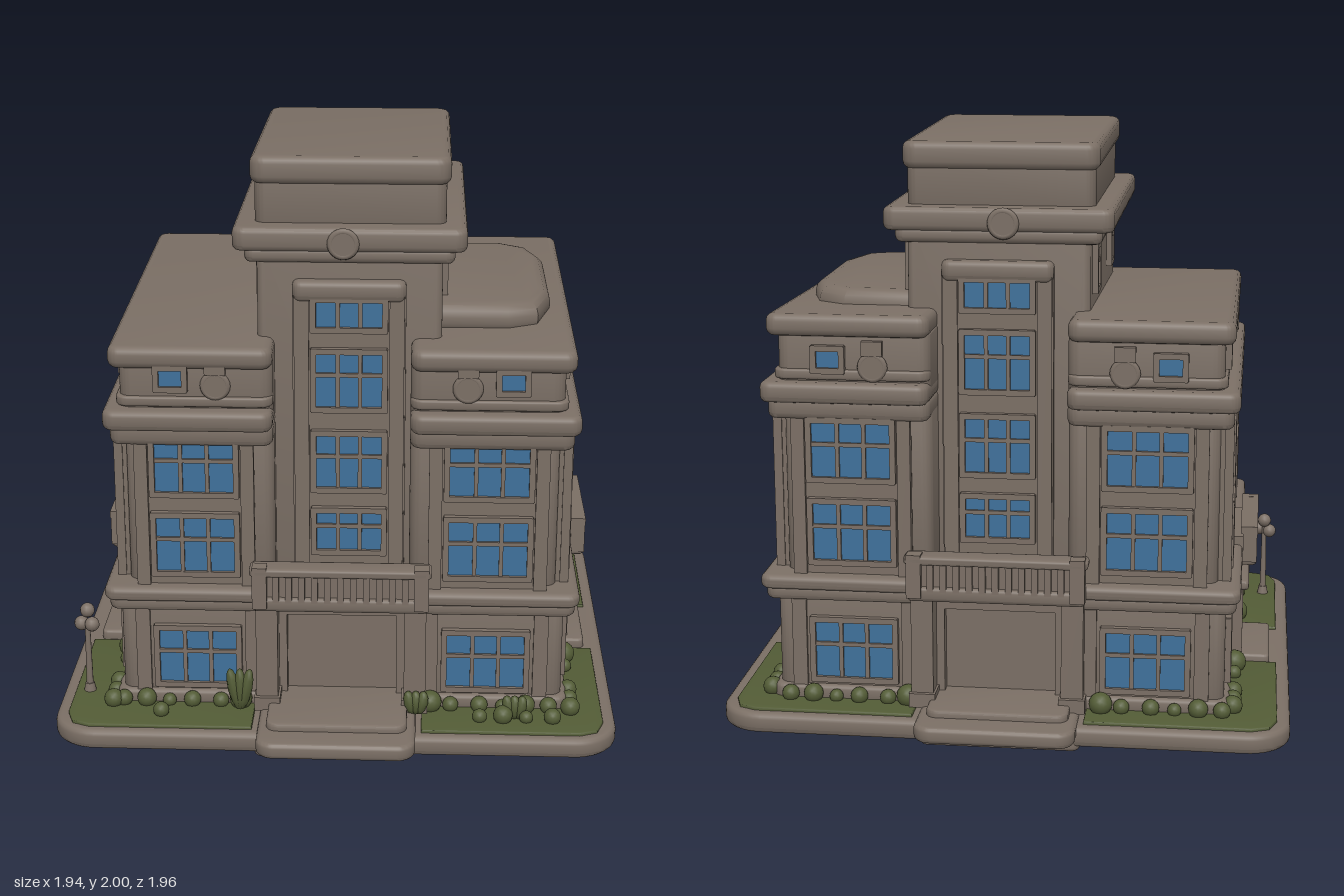
import * as THREE from 'three';
import { toCreasedNormals } from 'three/addons/utils/BufferGeometryUtils.js';

const mat = (name, color) => Object.assign(new THREE.MeshStandardMaterial({ color }), { name });
const stone = mat('stone', 0x7b6f65);
const glass = mat('glass', 0x3f719b);
const grass = mat('grass', 0x535c36);

function add(parent, name, geo, material, x = 0, y = 0, z = 0) {
  const m = new THREE.Mesh(geo, material);
  m.name = name;
  m.position.set(x, y, z);
  parent.add(m);
  return m;
}

function group(parent, name, x = 0, y = 0, z = 0, turn = 0) {
  const g = new THREE.Group();
  g.name = name;
  g.position.set(x, y, z);
  g.rotation.y = turn;
  parent.add(g);
  return g;
}

const box = (parent, name, w, h, d, x, y, z, material = stone) =>
  add(parent, name, new THREE.BoxGeometry(w, h, d), material, x, y, z);

function roundRect(P, x0, x1, z0, z1, r) {
  const s = new P();
  s.absarc(x1 - r, z1 - r, r, 0, Math.PI / 2);
  s.absarc(x0 + r, z1 - r, r, Math.PI / 2, Math.PI);
  s.absarc(x0 + r, z0 + r, r, Math.PI, Math.PI * 1.5);
  s.absarc(x1 - r, z0 + r, r, Math.PI * 1.5, Math.PI * 2);
  s.closePath();
  return s;
}

// Horizontal plan shape raised from y0 to y1 with softened edges
function raise(parent, name, shape, y0, y1, b, material = stone) {
  const geo = new THREE.ExtrudeGeometry(shape, {
    depth: y1 - y0 - 2 * b, bevelThickness: b, bevelSize: b, bevelOffset: -b, bevelSegments: 3, curveSegments: 5,
  });
  geo.rotateX(-Math.PI / 2);
  return add(parent, name, toCreasedNormals(geo, 0.7), material, 0, y0 + b, 0);
}

// Rounded slab covering x0..x1, z0..z1
const slab = (parent, name, x0, x1, z0, z1, y0, y1, r = 0.04, b = 0.015) =>
  raise(parent, name, roundRect(THREE.Shape, x0, x1, -z1, -z0, r), y0, y1, b);

// Window facing +z: glass plate, frame, mullions and sill
function windowUnit(parent, w, h, x, y, z, cols = 3, rows = 2) {
  const g = group(parent, 'window', x, y, z);
  box(g, 'windowPane', w, h, 0.008, 0, 0, 0.004, glass);
  for (const s of [-1, 1]) {
    box(g, 'windowJamb', 0.02, h + 0.03, 0.025, s * (w / 2 + 0.008), 0, 0.008);
    box(g, 'windowRail', w + 0.03, 0.02, 0.025, 0, s * (h / 2 + 0.008), 0.008);
  }
  for (let i = 1; i < cols; i++) box(g, 'mullion', 0.014, h, 0.016, -w / 2 + (w * i) / cols, 0, 0.009);
  for (let i = 1; i < rows; i++) box(g, 'transom', w, 0.014, 0.016, 0, h * (i / rows - 0.5) + 0.02, 0.009);
}

function medallion(parent, r, x, y, z) {
  add(parent, 'medallionRing', new THREE.TorusGeometry(r, r * 0.28, 8, 24), stone, x, y, z);
  const disc = add(parent, 'medallionDisc', new THREE.CylinderGeometry(r, r, 0.02, 24), stone, x, y, z);
  disc.rotation.x = Math.PI / 2;
}

const floors = [[0.975, 0.19], [0.69, 0.2], [0.27, 0.2]];

// Front and back: wing windows and portico
function mainFacade(g) {
  for (const s of [-1, 1]) {
    box(g, 'windowBay', 0.4, 0.56, 0.04, s * 0.498, 0.81, 0.66);
    for (const [y, h] of floors) windowUnit(g, 0.27, h, s * 0.498, y, 0.68);
    for (const e of [-1, 1]) {
      box(g, 'bayPilaster', 0.045, 0.56, 0.03, s * 0.498 + e * 0.18, 0.81, 0.68);
      box(g, 'groundPilaster', 0.05, 0.36, 0.025, s * 0.498 + e * 0.19, 0.28, 0.68);
    }
    windowUnit(g, 0.08, 0.06, s * 0.57, 1.285, 0.68, 1, 1);
    medallion(g, 0.04, s * 0.42, 1.26, 0.685);
    box(g, 'medallionBracket', 0.07, 0.05, 0.03, s * 0.42, 1.325, 0.685);
    // Portico supports
    box(g, 'porticoPier', 0.075, 0.42, 0.14, s * 0.255, 0.31, 0.67);
    box(g, 'porticoPierBase', 0.09, 0.05, 0.16, s * 0.255, 0.12, 0.675);
    box(g, 'doorJamb', 0.03, 0.32, 0.06, s * 0.205, 0.28, 0.63);
    box(g, 'porticoPost', 0.05, 0.15, 0.05, s * 0.275, 0.57, 0.76);
  }
  box(g, 'door', 0.4, 0.38, 0.12, 0, 0.27, 0.56);
  box(g, 'doorLintel', 0.44, 0.06, 0.14, 0, 0.45, 0.59);
  // Terrace over the door with a baluster parapet
  slab(g, 'canopy', -0.3, 0.3, 0.46, 0.775, 0.48, 0.53, 0.02, 0.012);
  box(g, 'canopyParapet', 0.54, 0.1, 0.04, 0, 0.57, 0.74);
  slab(g, 'canopyRail', -0.31, 0.31, 0.7, 0.785, 0.61, 0.64, 0.02, 0.01);
  for (let i = -5; i <= 5; i++) box(g, 'baluster', 0.022, 0.1, 0.022, i * 0.044, 0.565, 0.765);
}

// Left and right: three bays, balcony and side door
function sideFacade(g) {
  for (const s of [-1, 1]) {
    box(g, 'sideBay', 0.34, 0.56, 0.04, s * 0.44, 0.81, 0.745);
    for (const [y, h] of floors) windowUnit(g, y < 0.4 ? 0.21 : 0.235, h, s * (y < 0.4 ? 0.43 : 0.44), y, 0.765);
    for (const e of [-1, 1]) box(g, 'sidePilaster', 0.04, 0.56, 0.03, s * 0.44 + e * 0.155, 0.81, 0.765);
    box(g, 'centrePilaster', 0.05, 0.95, 0.05, s * 0.215, 0.6, 0.755);
    windowUnit(g, 0.085, 0.05, s * 0.48, 1.295, 0.745, 1, 1);
    box(g, 'sideDoorColumn', 0.035, 0.26, 0.07, s * 0.14, 0.24, 0.785);
    box(g, 'balconyPost', 0.04, 0.13, 0.05, s * 0.2, 0.55, 0.84);
  }
  windowUnit(g, 0.24, 0.19, 0, 0.975, 0.74);
  windowUnit(g, 0.24, 0.15, 0, 0.685, 0.74);
  slab(g, 'balconyFloor', -0.215, 0.215, 0.7, 0.865, 0.47, 0.51, 0.02, 0.012);
  box(g, 'balconyPanel', 0.38, 0.06, 0.1, 0, 0.54, 0.785);
  box(g, 'balconyRail', 0.44, 0.025, 0.06, 0, 0.602, 0.837);
  for (let i = -6; i <= 6; i++) box(g, 'balconyBaluster', 0.014, 0.08, 0.02, i * 0.03, 0.56, 0.845);
  box(g, 'sideDoor', 0.22, 0.24, 0.02, 0, 0.24, 0.77);
  for (const u of [-0.055, 0.055]) box(g, 'sideDoorPanel', 0.08, 0.2, 0.012, u, 0.24, 0.782);
  slab(g, 'sideDoorHood', -0.18, 0.18, 0.72, 0.84, 0.365, 0.4, 0.015, 0.01);
  medallion(g, 0.07, 0, 1.315, 0.748);
  windowUnit(g, 0.06, 0.04, 0, 1.33, 0.76, 1, 1);
}

// Stacked storeys of one wing; the upper tiers fall slightly toward the front
function wing(g, s) {
  const tier = (name, xo, z, y0, y1, b, tilt = 0) => {
    const m = slab(g, name, Math.min(s * 0.23, s * xo), Math.max(s * 0.23, s * xo), -z, z, y0, y1, 0.04, b);
    m.rotation.x = tilt;
  };
  tier('plinth', 0.785, 0.7, 0.08, 0.14, 0.015);
  tier('groundStorey', 0.765, 0.68, 0.1, 0.48, 0.005);
  tier('lowerLedge', 0.8, 0.715, 0.45, 0.5, 0.015);
  tier('upperLedge', 0.815, 0.735, 0.49, 0.54, 0.02);
  tier('upperStoreys', 0.735, 0.65, 0.5, 1.12, 0.005);
  tier('corniceBase', 0.78, 0.705, 1.065, 1.14, 0.02, 0.022);
  tier('cornice', 0.8, 0.735, 1.125, 1.195, 0.02, 0.022);
  tier('attic', 0.745, 0.68, 1.15, 1.37, 0.005, 0.005);
  tier('atticBand', 0.757, 0.692, 1.2, 1.235, 0.008, 0.022);
  tier('roofCornice', 0.78, 0.705, 1.34, 1.415, 0.025, 0.032);
}

// Central tower with window shafts, cornice and rimmed roof
function tower(g) {
  slab(g, 'towerCore', -0.31, 0.31, -0.535, 0.535, 0.06, 1.7, 0.03, 0.005);
  slab(g, 'towerCorniceBase', -0.35, 0.35, -0.55, 0.55, 1.655, 1.71, 0.03, 0.02);
  slab(g, 'towerCornice', -0.39, 0.39, -0.56, 0.56, 1.695, 1.775, 0.04, 0.02);
  slab(g, 'penthouse', -0.32, 0.32, -0.475, 0.475, 1.75, 1.975, 0.04, 0.01).rotation.x = -0.012;
  const rim = roundRect(THREE.Shape, -0.335, 0.335, -0.49, 0.49, 0.05);
  rim.holes.push(roundRect(THREE.Path, -0.285, 0.285, -0.43, 0.43, 0.03));
  raise(g, 'roofRim', rim, 1.9, 1.993, 0.025).rotation.x = -0.012;
  for (const s of [-1, 1]) {
    const front = group(g, 'shaft', 0, 0, 0, s > 0 ? 0 : Math.PI);
    box(front, 'windowShaft', 0.38, 1.06, 0.05, 0, 1.03, 0.53);
    slab(front, 'shaftCap', -0.19, 0.19, 0.45, 0.578, 1.53, 1.6, 0.03, 0.02);
    for (const e of [-1, 1]) box(front, 'shaftEdge', 0.05, 1.04, 0.03, e * 0.16, 1.03, 0.55);
    for (const [y, h, r] of [[1.485, 0.09, 1], [1.255, 0.19, 2], [0.965, 0.19, 2], [0.71, 0.14, 2]])
      windowUnit(front, 0.225, h, 0, y, 0.555, 3, r);
    medallion(front, 0.042, -0.02 * s, 1.725, 0.56);
    const side = group(g, 'towerSide', 0, 0, 0, (s * Math.PI) / 2);
    for (const z of [0.225, -0.385]) windowUnit(side, 0.09, 0.135, -s * z, 1.56, 0.31, 2, 2);
  }
}

// Lawns, shrubs, lamp, steps and the rounded base
function site(g) {
  slab(g, 'baseSlab', -0.97, 0.97, -0.88, 0.88, 0.015, 0.085, 0.15, 0.02);
  slab(g, 'baseFoot', -0.27, 0.27, -0.88, 0.88, 0, 0.04, 0.03, 0.01);
  for (const s of [-1, 1]) {
    slab(g, 'lowerStep', -0.26, 0.28, s > 0 ? 0.6 : -0.98, s > 0 ? 0.98 : -0.6, 0.045, 0.1, 0.06, 0.015);
    slab(g, 'upperStep', -0.23, 0.25, s > 0 ? 0.55 : -0.88, s > 0 ? 0.88 : -0.55, 0.08, 0.125, 0.04, 0.01);
    slab(g, 'sideStep', s > 0 ? 0.7 : -0.9, s > 0 ? 0.9 : -0.7, -0.2, 0.16, 0.07, 0.12, 0.02, 0.01);
  }
  const shrub = (x, z, r) => add(g, 'shrub', new THREE.IcosahedronGeometry(r, 2), grass, x, 0.09 + r * 0.75, z);
  for (const sx of [-1, 1]) for (const sz of [-1, 1]) {
    const lawn = new THREE.Shape();
    const x = sx > 0 ? 0.3 : 0.28, z0 = sz > 0 ? 0.18 : 0.2;
    [[x, 0.5], [x, 0.845], [0.84, 0.845], [0.9, 0.82], [0.925, 0.75], [0.925, z0], [0.6, z0], [0.6, 0.5]]
      .forEach(([a, b], i) => lawn[i ? 'lineTo' : 'moveTo'](a * sx, -b * sz));
    raise(g, 'lawn', lawn, 0.07, 0.096, 0.005, grass);
    // Shrubs hug the walls
    const wallX = sx > 0 ? 0.815 : -0.775, wallZ = sz > 0 ? 0.68 : -0.74;
    for (const [t, r] of [[0.33, 0.04], [0.4, 0.028], [0.5, 0.03], [0.58, 0.024], [0.66, 0.034], [0.74, 0.03]])
      shrub(sx * t, wallZ, r);
    for (const [t, r] of [[0.28, 0.042], [0.36, 0.026], [0.55, 0.032], [0.62, 0.03], [0.69, 0.034]])
      shrub(wallX, sz * t, r);
  }
  for (const [x, r] of [[0.5, 0.026], [0.58, 0.034], [0.66, 0.024], [0.75, 0.03], [-0.6, 0.028]]) shrub(x, 0.76, r);
  // Taller plants beside the entrance
  for (const [x, z, h] of [[-0.33, 0.71, 0.16], [0.28, 0.72, 0.09], [0.62, 0.74, 0.09]]) {
    for (let i = 0; i < 3; i++) {
      const leaf = add(g, 'tallPlant', new THREE.SphereGeometry(0.028, 8, 6), grass, x + (i - 1) * 0.02, 0.09 + h / 2, z);
      leaf.scale.set(0.8, h / 0.056, 0.8);
      leaf.rotation.z = (1 - i) * 0.2;
    }
  }
  // Street lamp
  add(g, 'lampPost', new THREE.CylinderGeometry(0.009, 0.013, 0.3, 10), stone, -0.875, 0.22, 0.59);
  add(g, 'lampBase', new THREE.CylinderGeometry(0.016, 0.024, 0.04, 10), stone, -0.875, 0.105, 0.59);
  for (const [x, y, z] of [[-0.02, 0.355, 0], [0.02, 0.36, 0.02], [0, 0.4, -0.01]])
    add(g, 'lampGlobe', new THREE.SphereGeometry(0.026, 12, 8), stone, -0.875 + x, y, 0.59 + z);
}

export function createModel() {
  const model = new THREE.Group();
  model.name = 'building';
  site(group(model, 'site'));
  tower(group(model, 'tower', 0.042, 0, 0.003));
  const body = group(model, 'body', 0.02, 0, -0.03);
  wing(body, 1);
  wing(body, -1);

  // Low raised roof on the left wing
  const bump = new THREE.Shape();
  [[0.29, -0.45], [0.56, -0.45], [0.66, -0.4], [0.71, -0.22], [0.71, 0.22], [0.66, 0.38], [0.56, 0.45], [0.29, 0.45]]
    .forEach(([x, z], i) => bump[i ? 'lineTo' : 'moveTo'](x, z));
  raise(body, 'raisedRoof', bump, 1.37, 1.48, 0.045);

  // Facades are built facing +z and turned into place
  [mainFacade, sideFacade, mainFacade, sideFacade].forEach((build, i) =>
    build(group(body, ['frontFacade', 'leftFacade', 'backFacade', 'rightFacade'][i], 0, 0, 0, (i * Math.PI) / 2)));
  return model;
}
